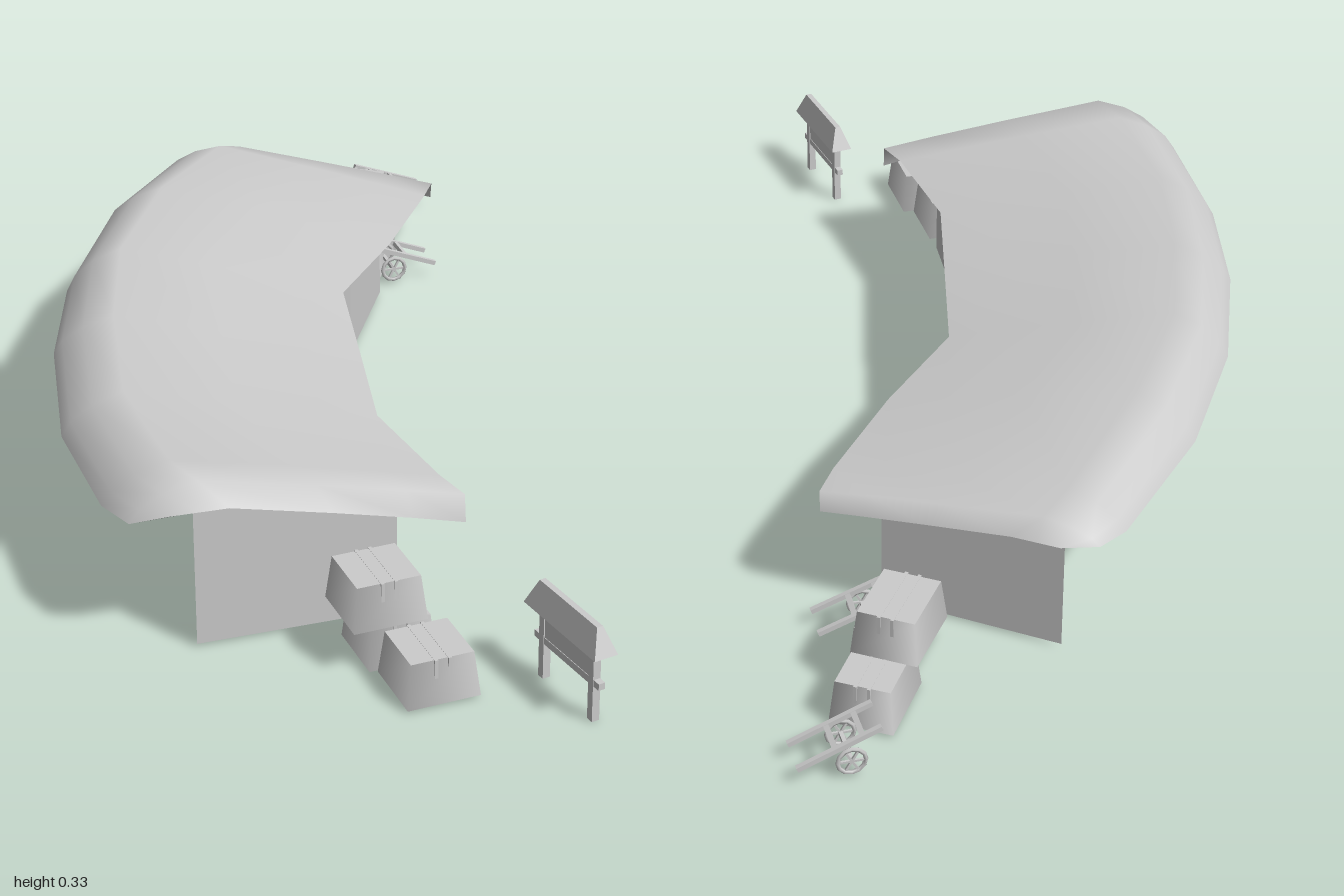
import * as THREE from 'three';

const grey = new THREE.MeshStandardMaterial({ color: 0xcccccc });
grey.name = 'plain grey';
const greySheet = new THREE.MeshStandardMaterial({ color: 0xcccccc, side: THREE.DoubleSide });
greySheet.name = 'plain grey';

function add(parent, name, geometry, x = 0, y = 0, z = 0, material = grey) {
  const mesh = new THREE.Mesh(geometry, material);
  mesh.name = name;
  mesh.position.set(x, y, z);
  parent.add(mesh);
  return mesh;
}

function group(parent, name, x, y, z, turn) {
  const g = new THREE.Group();
  g.name = name;
  g.position.set(x, y, z);
  g.rotation.y = turn;
  parent.add(g);
  return g;
}

// Surface through rows of points; every row has the same length
function loft(rows) {
  const n = rows[0].length, index = [];
  for (let i = 0; i < rows.length - 1; i++) {
    for (let j = 0; j < n - 1; j++) {
      const a = i * n + j, b = a + n;
      index.push(a, a + 1, b, b, a + 1, b + 1);
    }
  }
  const geo = new THREE.BufferGeometry();
  geo.setAttribute('position', new THREE.Float32BufferAttribute(rows.flat(2), 3));
  geo.setIndex(index);
  geo.computeVertexNormals();
  return geo;
}

// Flat-sided wall along a ground path of [x, z, topHeight]
function wall(parent, name, path) {
  const rows = path.map(([x, z, top]) => [[x, top, z], [x, 0.01, z]]);
  add(parent, name, loft(rows).toNonIndexed(), 0, 0, 0, greySheet).geometry.computeVertexNormals();
}

// Curved roof: stations of inner edge [x, z, y], outer edge [x, z, y] and crest height
function makeRoof(parent) {
  const stations = [
    [-0.09, -0.54, 0.21, -0.53, -0.53, 0.25, 0.25],
    [-0.085, -0.53, 0.245, -0.59, -0.5, 0.25, 0.288],
    [-0.08, -0.46, 0.248, -0.615, -0.44, 0.25, 0.312],
    [-0.08, -0.22, 0.248, -0.637, -0.14, 0.255, 0.338],
    [-0.1, 0.02, 0.25, -0.6, 0.16, 0.25, 0.338],
    [0, 0.24, 0.248, -0.52, 0.42, 0.255, 0.328],
    [0.1, 0.46, 0.243, -0.4, 0.68, 0.238, 0.319],
    [0.26, 0.63, 0.241, -0.24, 0.9, 0.248, 0.321],
    [0.317, 0.675, 0.237, -0.17, 0.955, 0.255, 0.322],
    [0.322, 0.685, 0.19, -0.1, 0.955, 0.28, 0.28],
  ];
  const mix = THREE.MathUtils.lerp;
  const rows = stations.map(([ix, iz, iy, ox, oz, oy, crest]) => {
    const across = [[0, iy], [0.18, mix(iy, crest, 0.25)], [0.45, mix(iy, crest, 0.59)], [0.8, crest],
      [0.9, mix(crest, oy, 0.28)], [0.97, mix(crest, oy, 0.65)], [1, oy]];
    return across.map(([t, y]) => [mix(ix, ox, t), y, mix(iz, oz, t)]);
  });
  // both directions reversed, which keeps the normals pointing up
  add(parent, 'roof', loft(rows.map((r) => r.slice().reverse()).reverse()), 0, 0, 0, greySheet);
}

// Tapered bale, softly shaded around its sides, with two short straps
function makeBale(parent, x, y, z, turn, width, depth) {
  const g = group(parent, 'bale', x, y, z, turn);
  const body = new THREE.CylinderGeometry(0.61, 0.707, 0.08, 4);
  body.rotateY(Math.PI / 4);
  body.scale(width, 1, depth);
  add(g, 'baleBody', body, 0, 0.04, 0);
  for (const s of [-1, 1]) {
    add(g, 'baleStrap', new THREE.BoxGeometry(0.006, 0.035, depth * 0.92), s * 0.012, 0.063, 0);
  }
}

// Small two-wheeled handcart, shafts falling towards local +x
function makeCart(parent, x, z, turn) {
  const g = group(parent, 'handcart', x, 0.01, z, turn);
  const frame = group(g, 'cartFrame', 0, 0.058, 0, 0);
  frame.rotation.z = -0.38;
  for (const s of [-1, 1]) {
    add(frame, 'cartShaft', new THREE.BoxGeometry(0.155, 0.009, 0.009), 0.008, 0, s * 0.033);
    const wheel = group(g, 'cartWheel', -0.012, 0.028, s * 0.038, 0);
    add(wheel, 'wheelRim', new THREE.TorusGeometry(0.024, 0.004, 5, 12));
    for (let i = 0; i < 3; i++) {
      add(wheel, 'wheelSpoke', new THREE.BoxGeometry(0.046, 0.004, 0.004)).rotation.z = i * Math.PI / 3;
    }
  }
  for (const px of [-0.035, 0.015]) {
    add(frame, 'cartCrossbar', new THREE.BoxGeometry(0.009, 0.008, 0.066), px, 0, 0);
  }
  add(g, 'cartAxle', new THREE.BoxGeometry(0.007, 0.007, 0.076), -0.012, 0.028, 0);
}

// Notice board with two posts and a small hipped roof
function makeNoticeBoard(parent) {
  const g = group(parent, 'noticeBoard', 0.547, 0, 0.873, -0.76);
  for (const s of [-1, 1]) {
    add(g, 'boardPost', new THREE.BoxGeometry(0.014, 0.14, 0.014), s * 0.073, 0.075, 0);
  }
  add(g, 'boardPanel', new THREE.BoxGeometry(0.15, 0.07, 0.01), 0, 0.105, 0);
  add(g, 'boardRail', new THREE.BoxGeometry(0.19, 0.012, 0.012), 0, 0.078, 0);
  const cover = new THREE.BoxGeometry(0.21, 0.047, 0.044);
  const p = cover.attributes.position;
  for (let i = 0; i < p.count; i++) {
    if (p.getY(i) > 0) p.setXYZ(i, p.getX(i) * 0.8, p.getY(i), p.getZ(i) * 0.25);
  }
  cover.computeVertexNormals();
  add(g, 'boardRoof', cover, 0, 0.16, 0);
}

export function createModel() {
  const model = new THREE.Group();
  model.name = 'curvedShelter';

  makeRoof(model);

  // Inner curved wall and the two end walls
  wall(model, 'innerWall', [[-0.18, -0.48, 0.237], [-0.155, -0.2, 0.245], [-0.11, 0.04, 0.25],
    [-0.03, 0.27, 0.248], [0.07, 0.49, 0.24], [0.207, 0.7, 0.24]]);
  wall(model, 'backEndWall', [[-0.18, -0.48, 0.25], [-0.52, -0.48, 0.265]]);
  wall(model, 'frontEndWall', [[0.207, 0.7, 0.25], [-0.08, 0.9, 0.3]]);

  // Stacked bales beside each end
  makeBale(model, 0.322, 0.01, 0.905, 0.68, 0.128, 0.128);
  makeBale(model, 0.227, 0.01, 0.815, 0.68, 0.12, 0.125);
  makeBale(model, 0.21, 0.09, 0.83, 0.68, 0.13, 0.13);
  makeBale(model, -0.288, 0.01, -0.755, 0.08, 0.115, 0.15);
  makeBale(model, -0.258, 0.01, -0.61, 0.05, 0.11, 0.15);
  makeBale(model, -0.292, 0.09, -0.662, 0.05, 0.12, 0.15);

  makeCart(model, -0.295, -0.92, 0.67);
  makeCart(model, -0.18, -0.578, 0.62);
  makeNoticeBoard(model);

  return model;
}
